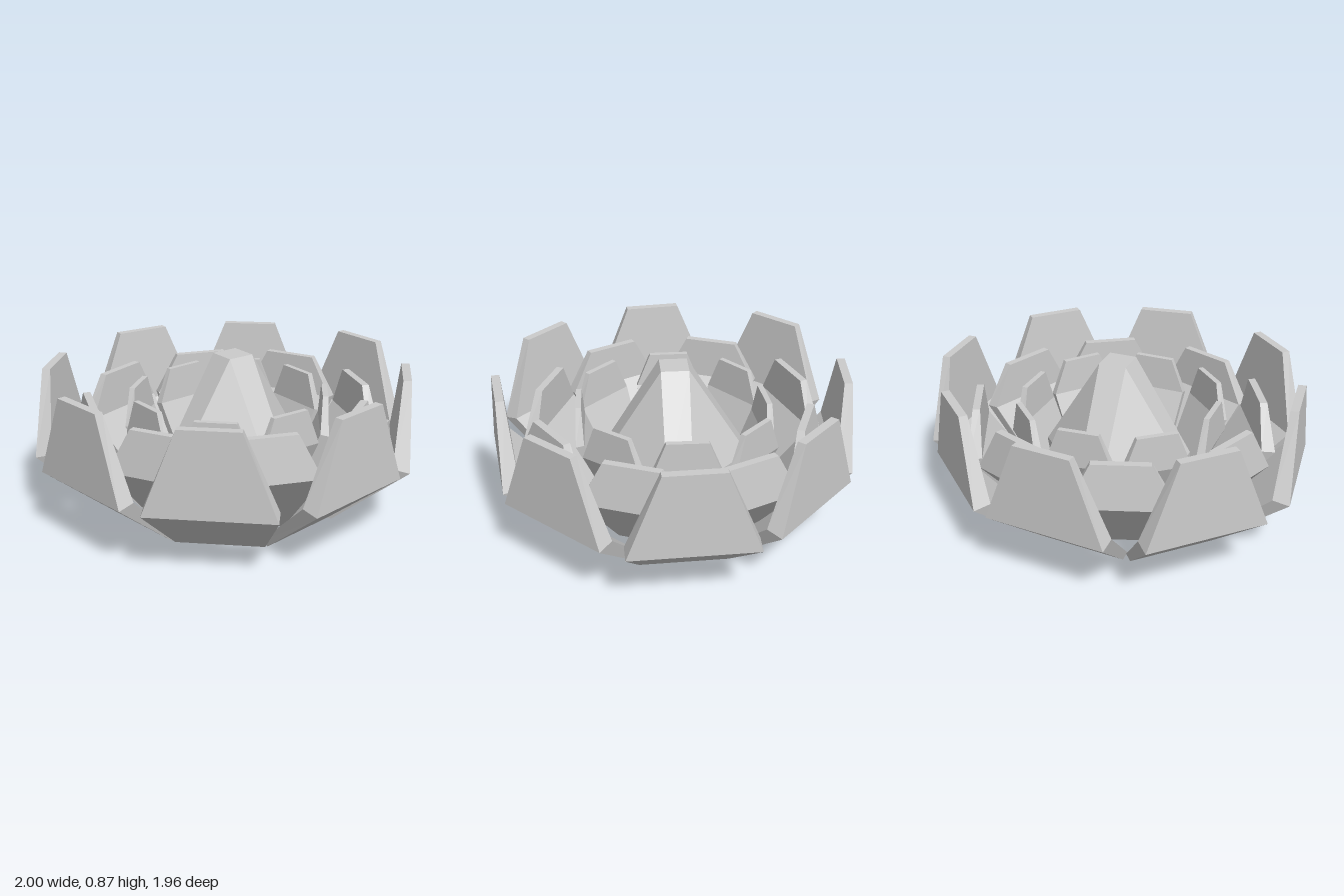
import * as THREE from 'three';

const material = new THREE.MeshStandardMaterial({ color: 0xcccccc, flatShading: true });

// Skin a stack of equal-length loops (counterclockwise from above, bottom to top) and cap both ends.
function loft(loops) {
  const n = loops[0].length;
  const pos = [];
  const tri = (a, b, c) => pos.push(...a, ...b, ...c);
  for (let k = 0; k < loops.length - 1; k++) {
    const lo = loops[k], hi = loops[k + 1];
    for (let i = 0; i < n; i++) {
      const j = (i + 1) % n;
      tri(lo[i], lo[j], hi[j]);
      tri(lo[i], hi[j], hi[i]);
    }
  }
  const bottom = loops[0], top = loops[loops.length - 1];
  for (let i = 1; i < n - 1; i++) {
    tri(top[0], top[i], top[i + 1]);
    tri(bottom[0], bottom[i + 1], bottom[i]);
  }
  const g = new THREE.BufferGeometry();
  g.setAttribute('position', new THREE.Float32BufferAttribute(pos, 3));
  g.computeVertexNormals();
  return g;
}

// Petal levels: [half width, outer y, outer z, inner y, inner z]; z = 0 is the outer bend.
function petalGeometry(levels) {
  return loft(levels.map(([w, yo, zo, yi, zi]) => [
    [-w, yo, zo], [w, yo, zo], [w, yi, zi], [-w, yi, zi],
  ]));
}

// Eight-sided bud section: a square of half size s whose sides have half length c.
function budLoop(y, s, c) {
  return [[-c, s], [c, s], [s, c], [s, -c], [c, -s], [-c, -s], [-s, -c], [-s, c]]
    .map(([x, z]) => [x, y, z]);
}

// Each petal is placed by the middle of its bend and its outward direction: [x, z, nx, nz]
const rings = [
  {
    name: 'outerPetal',
    levels: [[0.235, 0.02, -0.4, 0.035, -0.45], [0.33, 0.35, 0, 0.37, -0.09], [0.155, 0.8, -0.01, 0.8, -0.055]],
    places: [
      [0.05, 0.975, 0.02, 1], [0.75, 0.615, 0.53, 0.4], [0.995, -0.05, 1, -0.015], [0.72, -0.745, 0.45, -0.48],
      [0.01, -0.97, -0.03, -1], [-0.65, -0.71, -0.42, -0.5], [-1, 0.01, -1, 0], [-0.65, 0.73, -0.42, 0.52],
    ],
  },
  {
    name: 'middlePetal',
    levels: [[0.19, 0.025, -0.34, 0.04, -0.38], [0.272, 0.43, 0, 0.44, -0.075], [0.15, 0.67, -0.03, 0.67, -0.07]],
    places: [
      [0.305, -0.785, 0.19, -0.51], [-0.285, -0.735, -0.23, -0.51], [-0.72, -0.33, -0.48, -0.24],
      [-0.74, 0.305, -0.51, 0.22], [-0.26, 0.74, -0.16, 0.52], [0.315, 0.705, 0.21, 0.49],
      [0.76, 0.225, 0.51, 0.12], [0.735, -0.345, 0.49, -0.21],
    ],
  },
  {
    name: 'innerPetal',
    levels: [[0.135, 0.025, -0.21, 0.035, -0.24], [0.187, 0.48, 0, 0.49, -0.045], [0.11, 0.68, -0.005, 0.68, -0.035]],
    places: [
      [0.015, 0.55, 0, 1], [0.385, 0.37, 0.26, 0.27], [0.55, -0.045, 0.37, -0.035], [0.37, -0.41, 0.27, -0.26],
      [0.005, -0.583, 0, -1], [-0.33, -0.4, -0.29, -0.25], [-0.525, -0.04, -0.37, -0.04], [-0.385, 0.365, -0.27, 0.27],
    ],
  },
];

export function createModel() {
  const model = new THREE.Group();
  model.name = 'flower';

  // Three rings of folded petals
  for (const { name, levels, places } of rings) {
    const ring = new THREE.Group();
    ring.name = name + 'Ring';
    const geometry = petalGeometry(levels);
    for (const [x, z, nx, nz] of places) {
      const petal = new THREE.Mesh(geometry, material);
      petal.name = name;
      petal.position.set(x, 0, z);
      petal.rotation.y = Math.atan2(nx, nz);
      ring.add(petal);
    }
    model.add(ring);
  }

  // Central bud: upright base, then a taper to a small diamond top
  const bud = new THREE.Mesh(
    loft([budLoop(0, 0.333, 0.235), budLoop(0.35, 0.333, 0.235), budLoop(0.87, 0.107, 0)]),
    material,
  );
  bud.name = 'centerBud';
  bud.position.set(0.025, 0, -0.027);
  model.add(bud);

  return model;
}
